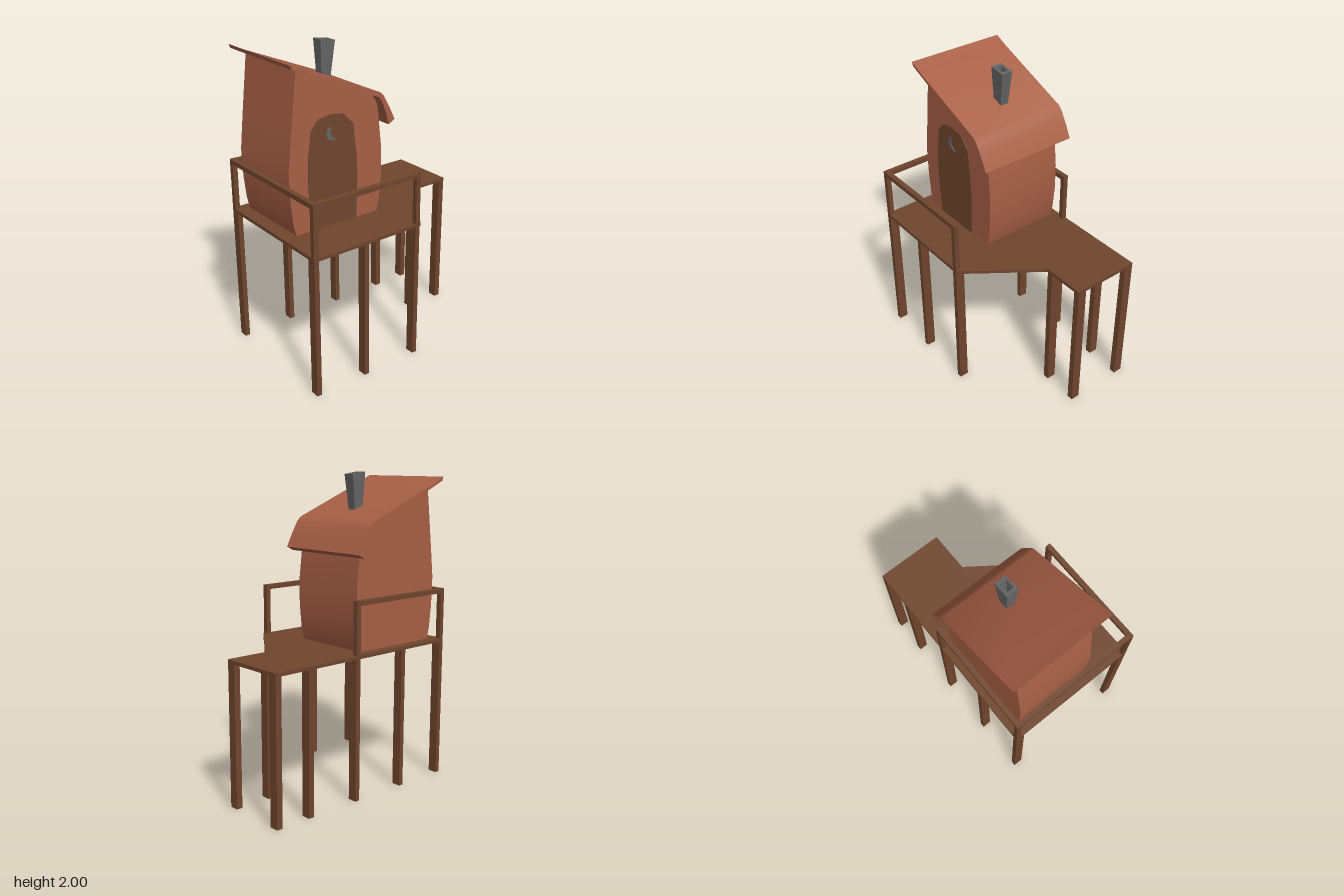
import * as THREE from 'three';
import { toCreasedNormals } from 'three/addons/utils/BufferGeometryUtils.js';

const material = (name, color) => {
  const m = new THREE.MeshStandardMaterial({ color });
  m.name = name;
  return m;
};

// Extrude a [z, y] side profile along x, from x0 to x1
function sideExtrude(points, x0, x1, crease = 0.6) {
  const shape = new THREE.Shape(points.map(([z, y]) => new THREE.Vector2(-z, y)));
  const geo = new THREE.ExtrudeGeometry(shape, { depth: x1 - x0, bevelEnabled: false });
  geo.rotateY(Math.PI / 2).translate(x0, 0, 0);
  return toCreasedNormals(geo, crease);
}

// Box given by its lower and upper corners
function boxBetween(x0, y0, z0, x1, y1, z1) {
  return new THREE.BoxGeometry(x1 - x0, y1 - y0, z1 - z0)
    .translate((x0 + x1) / 2, (y0 + y1) / 2, (z0 + z1) / 2);
}

// Flat-sided skin joining rings of four corners
function skinRings(rings) {
  const pos = [];
  for (let r = 0; r + 1 < rings.length; r++) {
    for (let i = 0; i < 4; i++) {
      const j = (i + 1) % 4;
      const a = rings[r][i], b = rings[r][j], c = rings[r + 1][j], d = rings[r + 1][i];
      pos.push(...a, ...b, ...c, ...a, ...c, ...d);
    }
  }
  const geo = new THREE.BufferGeometry();
  geo.setAttribute('position', new THREE.Float32BufferAttribute(pos, 3));
  geo.computeVertexNormals();
  return geo;
}

export function createModel() {
  const model = new THREE.Group();
  model.name = 'stiltHut';
  const wood = material('brown wood', 0x70462d);
  const clay = material('red clay', 0xa86046);
  const grey = material('grey metal', 0x666666);
  const add = (name, geo, mat, parent = model) => {
    const mesh = new THREE.Mesh(geo, mat);
    mesh.name = name;
    parent.add(mesh);
    return mesh;
  };

  // Deck with a narrow rear walkway
  const outline = [[-0.45, -0.7], [0, -0.7], [0, -0.42], [0.45, -0.09], [0.45, 0.7], [-0.45, 0.7]];
  const deckShape = new THREE.Shape(outline.map(([x, z]) => new THREE.Vector2(x, -z)));
  const deck = new THREE.ExtrudeGeometry(deckShape, { depth: 0.022, bevelEnabled: false });
  add('deck', deck.rotateX(-Math.PI / 2).translate(0, 0.902, 0), wood);

  // Stilts: [x0, z0, z1]
  const stilts = new THREE.Group();
  stilts.name = 'stilts';
  model.add(stilts);
  const mainRows = [[0.668, 0.7], [0.31, 0.342], [-0.082, -0.05]];
  const rearRows = [[-0.46, -0.42], [-0.7, -0.66]];
  const places = [];
  for (const x of [-0.45, 0.39]) for (const row of mainRows) places.push([x, ...row]);
  for (const x of [-0.45, -0.062]) for (const row of rearRows) places.push([x, ...row]);
  for (const [x, z0, z1] of places) {
    add('stilt', boxBetween(x, 0, z0, x + 0.06, 0.903, z1), wood, stilts);
  }

  // Railing around the front and both sides
  const railing = new THREE.Group();
  railing.name = 'railing';
  model.add(railing);
  for (const x of [-0.45, 0.418]) {
    for (const z of [-0.082, 0.668]) {
      add('railPost', boxBetween(x, 0.92, z, x + 0.032, 1.226, z + 0.032), wood, railing);
    }
    add('sideRail', boxBetween(x, 1.225, -0.082, x + 0.032, 1.255, 0.7), wood, railing);
  }
  add('frontRail', boxBetween(-0.418, 1.225, 0.668, 0.418, 1.255, 0.7), wood, railing);

  // Bulging hut body
  add('hutBody', sideExtrude([
    [0.61, 0.92], [0.63, 1.0], [0.645, 1.15], [0.65, 1.33], [0.625, 1.55], [0.58, 1.92],
    [0.04, 1.695], [0.015, 1.66], [-0.002, 1.56], [-0.028, 1.33], [-0.028, 1.16], [-0.012, 1.0], [0.01, 0.92],
  ], -0.39, 0.14), clay);

  // Sloping roof with a rear flap
  add('roof', sideExtrude([
    [0.655, 1.967], [0.56, 1.922], [0.035, 1.712], [0.01, 1.688], [-0.035, 1.61], [-0.077, 1.527],
    [-0.03, 1.502], [-0.008, 1.58], [0.02, 1.65], [0.045, 1.684], [0.55, 1.9], [0.645, 1.942],
  ], -0.454, 0.205), clay);

  // Arched door with a crescent window on the left wall
  add('door', sideExtrude([
    [0.495, 0.925], [0.513, 1.1], [0.52, 1.25], [0.513, 1.4], [0.49, 1.55], [0.44, 1.61], [0.35, 1.625],
    [0.26, 1.612], [0.19, 1.54], [0.165, 1.33], [0.16, 1.2], [0.17, 0.925],
  ], 0.138, 0.144, 0.3), wood);
  add('doorWindow', sideExtrude([
    [0.352, 1.55], [0.373, 1.544], [0.39, 1.512], [0.382, 1.485], [0.352, 1.464],
    [0.315, 1.464], [0.347, 1.49], [0.357, 1.517],
  ], 0.143, 0.148, 0.3), grey);

  // Hollow chimney, wider at its slanted top
  const ring = (x0, x1, z0, z1, yBack, yFront) => [
    [x0, yFront, z1], [x1, yFront, z1], [x1, yBack, z0], [x0, yBack, z0],
  ];
  add('chimney', skinRings([
    ring(-0.156, -0.104, 0.175, 0.237, 1.74, 1.74),
    ring(-0.168, -0.092, 0.143, 0.248, 1.985, 2.0),
    ring(-0.151, -0.107, 0.165, 0.226, 1.988, 1.997),
    ring(-0.146, -0.112, 0.185, 0.227, 1.74, 1.74),
  ]), grey);
  add('chimneyFloor', boxBetween(-0.15, 1.8, 0.178, -0.108, 1.808, 0.232), wood);

  return model;
}
